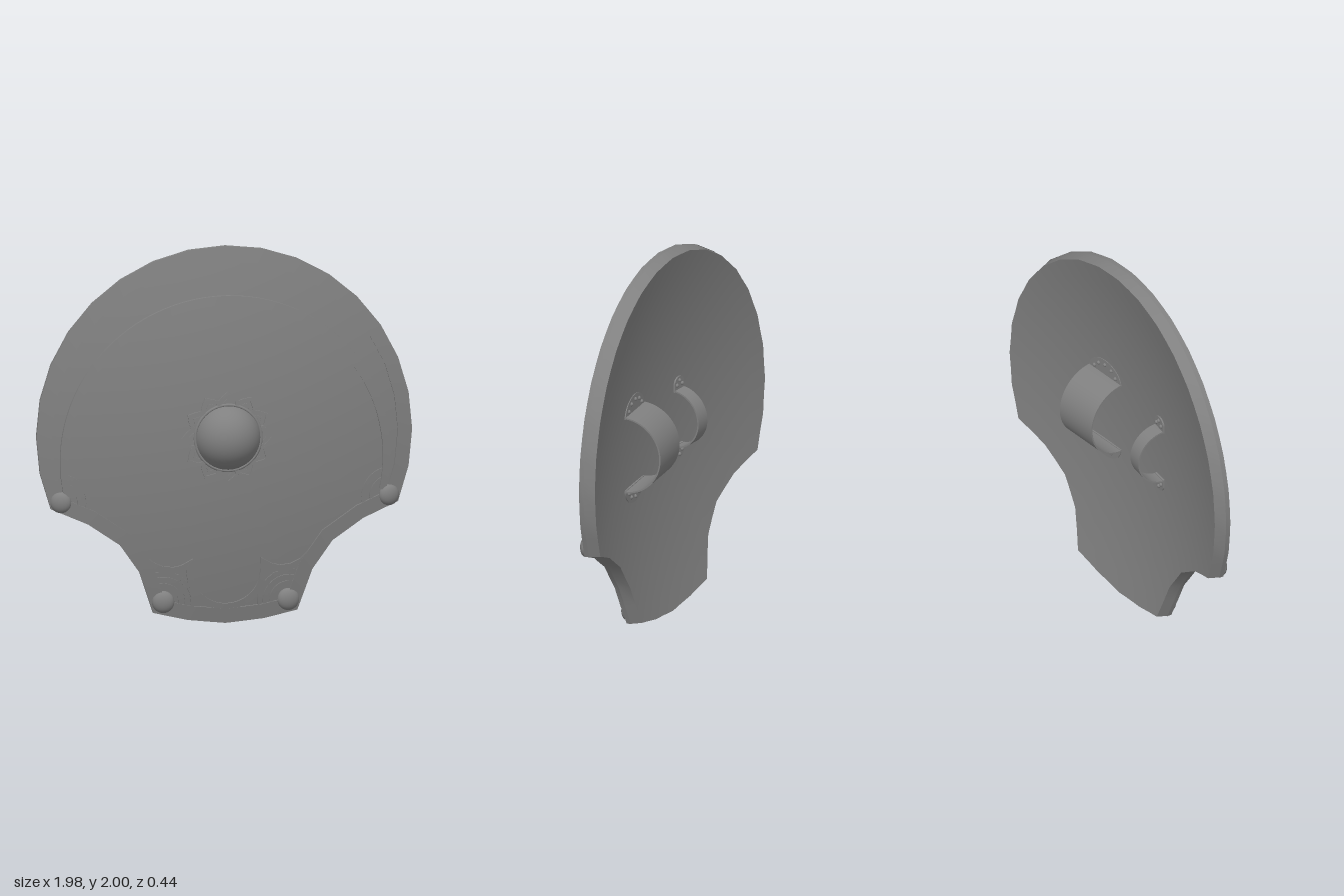
import * as THREE from 'three';
import { toCreasedNormals } from 'three/addons/utils/BufferGeometryUtils.js';

const material = new THREE.MeshStandardMaterial({ color: 0x808080, side: THREE.DoubleSide });
const rad = THREE.MathUtils.degToRad;

// Height of the curved front face
const dome = (x, y) => 0.085 - 0.165 * x * x - 0.115 * (y - 1) ** 2;
const THICK = 0.073;

function add(parent, name, geometry, x = 0, y = 0, z = 0) {
  const mesh = new THREE.Mesh(geometry, material);
  mesh.name = name;
  mesh.position.set(x, y, z);
  parent.add(mesh);
  return mesh;
}

// Skin over rows of equal-length point lists
function loft(rows, closed) {
  const n = rows[0].length, pos = [], idx = [];
  rows.forEach(r => r.forEach(p => pos.push(...p)));
  const count = closed ? rows.length : rows.length - 1;
  for (let i = 0; i < count; i++) {
    const j = (i + 1) % rows.length;
    for (let k = 0; k < n - 1; k++) {
      const a = i * n + k, b = j * n + k;
      idx.push(a, b, b + 1, a, b + 1, a + 1);
    }
  }
  const g = new THREE.BufferGeometry();
  g.setAttribute('position', new THREE.Float32BufferAttribute(pos, 3));
  g.setIndex(idx);
  return toCreasedNormals(g, 0.5);
}

// Raised strip on the dome; a is the right-hand edge of travel, b the left
function band(a, b, h, closed = false) {
  const at = ([x, y], up) => [x, y, dome(x, y) + up];
  return loft(a.map((p, i) => [at(p, -0.01), at(p, h), at(b[i], h), at(b[i], -0.01)]), closed);
}

// Mitred offset of a 2D path to its left
function offset(pts, d, closed = false) {
  const n = pts.length;
  const dir = (p, q) => new THREE.Vector2(q[0] - p[0], q[1] - p[1]).normalize();
  return pts.map((p, i) => {
    const prev = pts[closed ? (i + n - 1) % n : Math.max(i - 1, 0)];
    const next = pts[closed ? (i + 1) % n : Math.min(i + 1, n - 1)];
    const t1 = prev === p ? dir(p, next) : dir(prev, p);
    const t2 = next === p ? t1 : dir(p, next);
    const m = new THREE.Vector2(-t1.y - t2.y, t1.x + t2.x).normalize();
    const s = d / Math.max(0.5, m.x * -t1.y + m.y * t1.x);
    return [p[0] + m.x * s, p[1] + m.y * s];
  });
}

const stroke = (pts, w, h) => band(offset(pts, -w / 2), offset(pts, w / 2), h);

const arc = (cx, cy, r, from, to, n) => Array.from({ length: n + 1 }, (_, i) => {
  const a = rad(from + (to - from) * i / n);
  return [cx + r * Math.cos(a), cy + r * Math.sin(a)];
});

// Faceted outline: round top, two concave bites, narrow foot
function makeOutline() {
  const top = arc(0, 1, 1, -22.5, 202.5, 20).map(([x, y]) => [x * 0.99, y]);
  const left = [[-0.725, 0.54], [-0.56, 0.43], [-0.455, 0.28], [-0.38, 0.06], [-0.2, 0.02]];
  const right = left.map(([x, y]) => [-x, y]).reverse();
  const pts = [...top, ...left, [0, 0], ...right];
  return pts.flatMap((p, i) => {
    const q = pts[(i + 1) % pts.length];
    return [p, [(p[0] + q[0]) / 2, (p[1] + q[1]) / 2]];
  });
}

// Arm strap on the back: thin half hoop with a riveted tab at each end
function makeStrap(name, x, halfWidth, radius, tabLength, square, rivets) {
  const g = new THREE.Group();
  g.name = name;
  g.position.set(x, 1, dome(x, 1) - THICK);
  g.rotation.y = Math.sign(x) * 0.09;

  const hoop = new THREE.Shape();
  hoop.absarc(0, 0, radius, 0, Math.PI, false);
  hoop.absarc(0, 0, radius - 0.008, Math.PI, 0, true);
  const geo = new THREE.ExtrudeGeometry(hoop, { depth: halfWidth * 2, bevelEnabled: false, curveSegments: 20 });
  geo.translate(0, 0, -halfWidth);
  geo.applyMatrix4(new THREE.Matrix4().makeBasis(
    new THREE.Vector3(0, 1, 0), new THREE.Vector3(0, 0, -1), new THREE.Vector3(-1, 0, 0)));
  add(g, 'hoop', toCreasedNormals(geo, 0.6));

  // Tab outline: straight sides up to "square", then a rounded end
  const outline = new THREE.Shape();
  outline.moveTo(-1, 0);
  outline.lineTo(1, 0);
  outline.absellipse(0, square, 1, 1 - square, 0, Math.PI, false, 0);
  for (const turn of [0, Math.PI]) {
    const end = new THREE.Group();
    end.name = 'tab';
    end.rotation.z = turn;
    const tab = new THREE.ExtrudeGeometry(outline, { depth: 0.03, bevelEnabled: false, curveSegments: 12 });
    tab.scale(halfWidth, tabLength, 1);
    add(end, 'plate', tab, 0, radius - 0.012, -0.014);
    for (let i = 0; i < rivets; i++) {
      const a = Math.PI * (i + 0.7) / (rivets + 0.4);
      add(end, 'rivet', new THREE.SphereGeometry(0.011, 8, 6),
        Math.cos(a) * halfWidth * 0.72, radius - 0.01 + Math.sin(a) * tabLength * 0.7, -0.014);
    }
    g.add(end);
  }
  return g;
}

export function createModel() {
  const model = new THREE.Group();
  model.name = 'shield';
  const outline = makeOutline();

  // Curved body: back centre, back edge, front edge, front centre
  const steps = 10;
  add(model, 'body', loft(outline.map(([x, y]) => {
    const back = [], front = [];
    for (let i = 0; i <= steps; i++) {
      const t = i / steps, px = x * t, py = 1 + (y - 1) * t;
      front.unshift([px, py, dome(px, py)]);
      const bx = px * 0.975, by = 1 + (py - 1) * 0.985;
      back.push([bx, by, dome(bx, by) - THICK]);
    }
    return [...back, ...front];
  }), true));

  // Raised rim and the thin crescent ridge inside it
  add(model, 'rim', band(outline, offset(outline, 0.078, true), 0.016, true));
  add(model, 'crescentRidge', band(
    arc(0, 0.875, 0.87, -13, 193, 56), arc(0, 0.865, 0.83, -12, 192, 56), 0.02));

  // Centre boss with its collar
  const boss = new THREE.SphereGeometry(0.175, 40, 16, 0, Math.PI * 2, 0, Math.PI / 2);
  boss.rotateX(Math.PI / 2);
  add(model, 'centreBoss', boss, 0, 1, 0.046);
  add(model, 'bossCollar', new THREE.TorusGeometry(0.174, 0.008, 8, 48), 0, 1, 0.087);

  // Ring of twelve pointed petals, each a double outline
  const petal = [[-14, 0.172], [-13, 0.2], [-7, 0.217], [0, 0.237], [7, 0.217], [13, 0.2], [14, 0.172]];
  for (let i = 0; i < 12; i++) {
    const path = s => petal.map(([a, r]) => {
      const t = rad(i * 30 + a * s), q = 0.172 + (r - 0.172) * s;
      return [q * Math.cos(t), 1 + q * Math.sin(t)];
    });
    add(model, 'petal', stroke(path(1), 0.013, 0.012));
    add(model, 'petalInner', stroke(path(0.5), 0.008, 0.006));
  }

  // Scrolled border across the foot
  const leftScroll = [[-0.45, 0.375], [-0.4, 0.325], [-0.34, 0.297], [-0.28, 0.292], [-0.235, 0.302],
    [-0.195, 0.325], [-0.195, 0.28]];
  const bowl = arc(0, 0.28, 0.19, 195, 345, 18).map(([x, y]) => [x * 1.02, y]);
  const rightScroll = leftScroll.map(([x, y]) => [-x, y]).reverse();
  add(model, 'footScroll', stroke([...leftScroll, ...bowl, ...rightScroll], 0.034, 0.014));

  // Corner studs with concentric arcs
  const corners = [
    { x: 0.865, y: 0.655, r: 0.056, from: 92, to: 196, rings: [0.095, 0.14] },
    { x: 0.33, y: 0.12, r: 0.059, from: 72, to: 192, rings: [0.09, 0.125, 0.155] },
  ];
  for (const s of [1, -1]) {
    for (const c of corners) {
      const geo = new THREE.SphereGeometry(c.r, 20, 14);
      geo.scale(1, 1, 0.58);
      const stud = add(model, 'cornerStud', geo, s * c.x, c.y, dome(c.x, c.y) + 0.012);
      stud.rotation.y = s * Math.atan(0.33 * c.x);
      for (const r of c.rings) {
        const [from, to] = s > 0 ? [c.from, c.to] : [180 - c.to, 180 - c.from];
        add(model, 'cornerArc', stroke(arc(s * c.x, c.y, r, from, to, 14), 0.02, 0.01));
      }
    }
    // Short bar closing the foot panel beside the rim
    const bar = [[0.4, 0.268], [0.25, 0.262], [0.215, 0.2]].map(([x, y]) => [s * x, y]);
    add(model, 'footBar', stroke(s > 0 ? bar : bar.reverse(), 0.014, 0.009));
  }

  // Forearm strap and hand grip
  model.add(makeStrap('forearmStrap', 0.262, 0.131, 0.211, 0.1, 0, 5));
  model.add(makeStrap('handGrip', -0.246, 0.043, 0.16, 0.08, 0.55, 3));
  return model;
}
